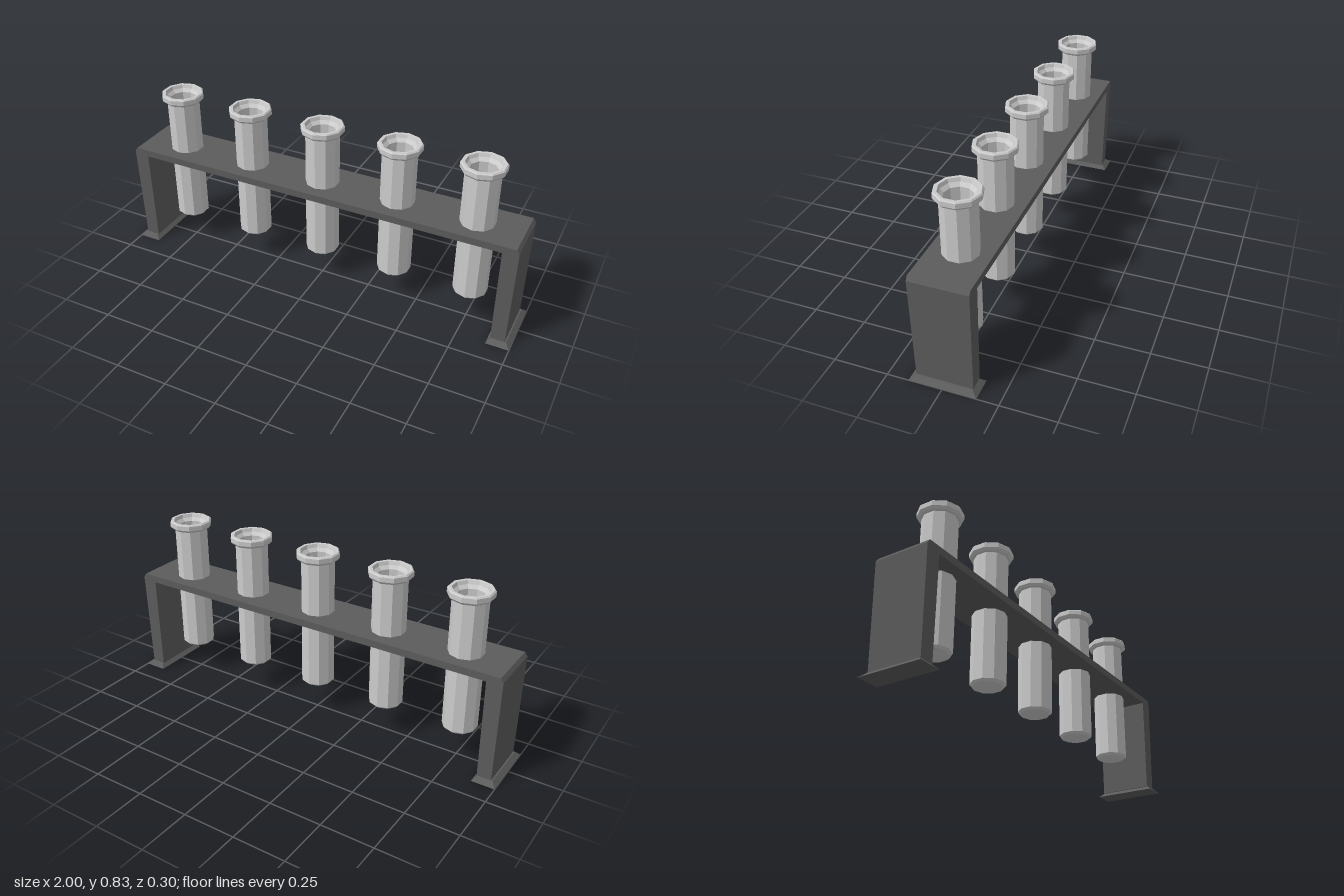
import * as THREE from 'three';

const rackMaterial = new THREE.MeshStandardMaterial({ color: 0x5c5c5c, flatShading: true });
const tubeMaterial = new THREE.MeshStandardMaterial({ color: 0xcccccc, flatShading: true });

function addMesh(parent, geometry, material, name) {
  const mesh = new THREE.Mesh(geometry, material);
  mesh.name = name;
  parent.add(mesh);
  return mesh;
}

// Bridge-shaped frame: shelf and two legs, slightly narrower toward the floor
function frameGeometry() {
  const half = [[0.905, 0.02], [0.972, 0.02], [0.979, 0.511], [0.966, 0.53]];
  const right = [[0.905, 0.496], ...half];
  const left = right.map(([x, y]) => [-x, y]).reverse();
  const shape = new THREE.Shape([...right, ...left].map(([x, y]) => new THREE.Vector2(x, y)));
  const geometry = new THREE.ExtrudeGeometry(shape, { depth: 2, bevelEnabled: false });
  geometry.translate(0, 0, -1);
  const p = geometry.attributes.position;
  for (let i = 0; i < p.count; i++) {
    p.setZ(i, p.getZ(i) * THREE.MathUtils.mapLinear(p.getY(i), 0.02, 0.53, 0.128, 0.133));
  }
  geometry.computeVertexNormals();
  return geometry;
}

// Flared foot: a flat block whose top shrinks to the leg section
function footGeometry() {
  const geometry = new THREE.BoxGeometry(0.11, 0.021, 0.304);
  const p = geometry.attributes.position;
  for (let i = 0; i < p.count; i++) {
    if (p.getY(i) > 0) {
      p.setX(i, Math.sign(p.getX(i)) * 0.0335);
      p.setZ(i, Math.sign(p.getZ(i)) * 0.128);
    }
  }
  geometry.translate(0, 0.0105, 0);
  geometry.computeVertexNormals();
  return geometry;
}

// Hollow ten-sided tube: outer wall, rolled lip, then down the inside
function tubeGeometry() {
  const profile = [
    [0, 0.142], [0.045, 0.145], [0.069, 0.152], [0.08, 0.163],
    [0.08, 0.785], [0.091, 0.787], [0.102, 0.799], [0.102, 0.821], [0.096, 0.827],
    [0.083, 0.826], [0.077, 0.81], [0.062, 0.795],
    [0.062, 0.178], [0.045, 0.165], [0, 0.16],
  ];
  return new THREE.LatheGeometry(profile.map(([r, y]) => new THREE.Vector2(r, y)), 10);
}

export function createModel() {
  const model = new THREE.Group();
  model.name = 'testTubeRack';

  const rack = new THREE.Group();
  rack.name = 'rack';
  model.add(rack);
  addMesh(rack, frameGeometry(), rackMaterial, 'frame');
  const foot = footGeometry();
  for (const side of [-1, 1]) {
    addMesh(rack, foot, rackMaterial, side > 0 ? 'leftFoot' : 'rightFoot').position.x = side * 0.945;
  }

  // Five evenly spaced tubes
  const tube = tubeGeometry();
  for (let i = -2; i <= 2; i++) {
    addMesh(model, tube, tubeMaterial, `tube${i + 3}`).position.x = i * 0.377;
  }
  return model;
}
